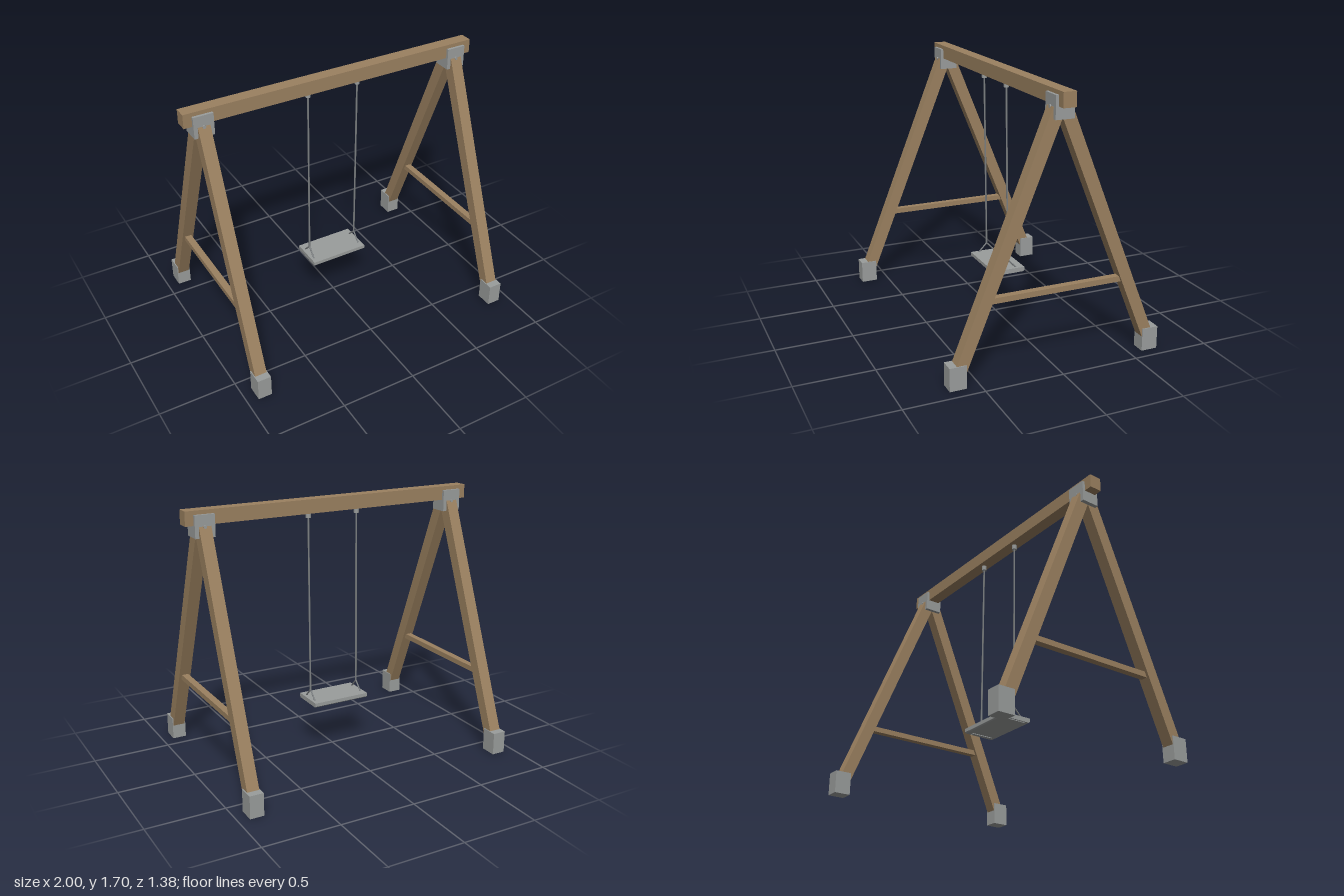
import * as THREE from 'three';

export function createModel() {
  const root = new THREE.Group();
  const mat = (name, color) => {
    const m = new THREE.MeshStandardMaterial({ color });
    m.name = name;
    return m;
  };
  const wood = mat('wood', 0x9b8160);
  const metal = mat('grey metal', 0x9a9d9c);
  const steel = mat('rope steel', 0x7c8082);

  const add = (name, geometry, material, parent = root) => {
    const mesh = new THREE.Mesh(geometry, material);
    mesh.name = name;
    parent.add(mesh);
    return mesh;
  };
  // Box given by its extents on each axis
  const box = (name, x0, x1, y0, y1, z0, z1, material, parent) =>
    add(name, new THREE.BoxGeometry(x1 - x0, y1 - y0, z1 - z0), material, parent)
      .position.set((x0 + x1) / 2, (y0 + y1) / 2, (z0 + z1) / 2);
  // Prism from a side profile of [z, y] points, centred on x = 0
  const sidePrism = (points, width) => {
    const shape = new THREE.Shape(points.map(([z, y]) => new THREE.Vector2(z, y)));
    return new THREE.ExtrudeGeometry(shape, { depth: width, bevelEnabled: false })
      .translate(0, 0, -width / 2).rotateY(-Math.PI / 2);
  };
  // Round rod between two points
  const rod = (name, a, b, r, material, parent) => {
    const p = new THREE.Vector3(...a), q = new THREE.Vector3(...b);
    const dir = q.clone().sub(p);
    const mesh = add(name, new THREE.CylinderGeometry(r, r, dir.length(), 10), material, parent);
    mesh.position.copy(p).add(q).multiplyScalar(0.5);
    mesh.quaternion.setFromUnitVectors(new THREE.Vector3(0, 1, 0), dir.normalize());
  };

  // Top beam
  box('beam', -1, 1, 1.605, 1.695, -0.042, 0.04, wood);

  // A-frames
  for (const side of [-1, 1]) {
    const frame = new THREE.Group();
    frame.name = side > 0 ? 'leftFrame' : 'rightFrame';
    frame.position.x = side * 0.883;
    root.add(frame);

    box('crossbar', -0.022, 0.022, 0.485, 0.52, -0.43, 0.43, wood, frame);
    box('bracketSaddle', -0.064, 0.064, 1.53, 1.604, -0.05, 0.05, metal, frame);

    for (const s of [-1, 1]) {
      const profile = [[0, 1.535], [0.607, 0.04], [0.687, 0.04], [0.06, 1.6], [0, 1.6]];
      add('leg', sidePrism(profile.map(([z, y]) => [z * s, y]), 0.078), wood, frame);

      const [f0, f1] = s > 0 ? [0.585, 0.692] : [-0.692, -0.585];
      box('foot', -0.045, 0.045, 0, 0.147, f0, f1, metal, frame);

      const [p0, p1] = s > 0 ? [0.04, 0.058] : [-0.06, -0.042];
      box('bracketPlate', -0.064, 0.064, 1.53, 1.67, p0, p1, metal, frame);
      rod('bolt', [0, 1.597, s * 0.05], [0, 1.597, s * 0.066], 0.011, metal, frame);
    }
  }

  // Swing
  const swing = new THREE.Group();
  swing.name = 'swing';
  root.add(swing);

  // Seat board with chamfered lower edges
  const seat = [[-0.118, 0.336], [0.088, 0.336], [0.095, 0.343], [0.095, 0.366],
    [-0.125, 0.366], [-0.125, 0.343]];
  add('seat', sidePrism(seat, 0.392), metal, swing).position.x = -0.003;

  for (const x of [-0.177, 0.171]) {
    rod('hanger', [x, 1.572, 0], [x, 1.606, 0], 0.017, metal, swing);
    rod('rope', [x, 1.575, 0], [x, 0.42, -0.013], 0.006, steel, swing);
    for (const z of [0.05, -0.077]) {
      rod('strap', [x, 0.425, -0.013], [x, 0.36, z], 0.005, steel, swing);
    }
    // Strap return under the seat
    box('seatClip', x - 0.013, x + 0.013, 0.331, 0.337, -0.085, 0.058, metal, swing);
  }

  return root;
}
